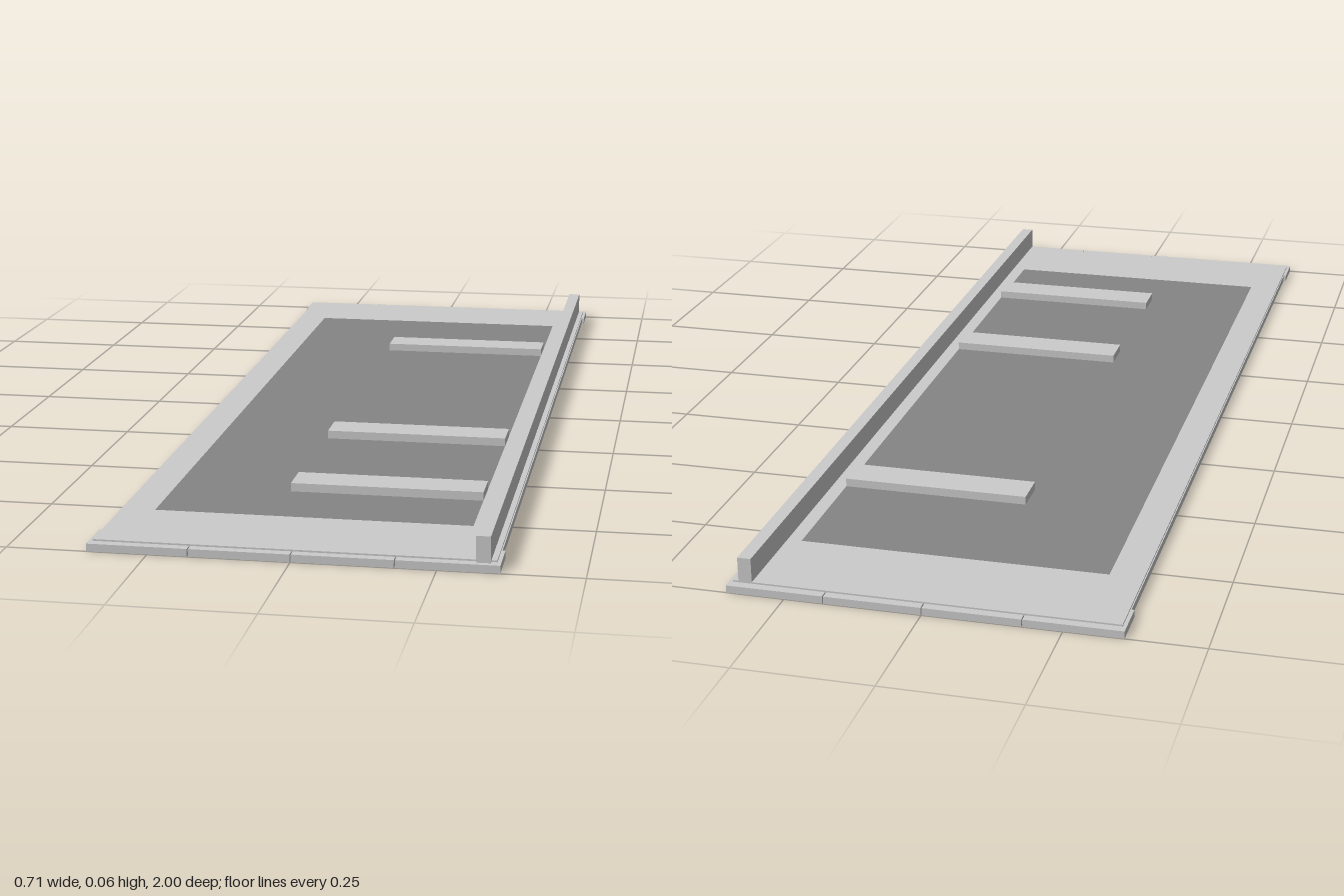
import * as THREE from 'three';

const grey = new THREE.MeshStandardMaterial({ color: 0xcccccc, flatShading: true });
const dark = new THREE.MeshStandardMaterial({ color: 0x858585, flatShading: true });

export function createModel() {
  const group = new THREE.Group();

  // Box given by its min and max on each axis
  function box(name, [x0, x1], [y0, y1], [z0, z1], material = grey) {
    const mesh = new THREE.Mesh(new THREE.BoxGeometry(x1 - x0, y1 - y0, z1 - z0), material);
    mesh.position.set((x0 + x1) / 2, (y0 + y1) / 2, (z0 + z1) / 2);
    mesh.name = name;
    group.add(mesh);
  }

  // Thin deck with a rectangular opening
  const rect = (Type, x, z) => new Type([
    new THREE.Vector2(-x, -z), new THREE.Vector2(x, -z),
    new THREE.Vector2(x, z), new THREE.Vector2(-x, z),
  ]);
  const deckShape = rect(THREE.Shape, 0.35, 0.983);
  deckShape.holes.push(rect(THREE.Path, 0.288, 0.805));
  const deckGeometry = new THREE.ExtrudeGeometry(deckShape, { depth: 0.004, bevelEnabled: false });
  deckGeometry.rotateX(-Math.PI / 2);
  const deck = new THREE.Mesh(deckGeometry, grey);
  deck.position.y = 0.013;
  deck.name = 'deck';
  group.add(deck);

  // Dark panel flush with the deck
  box('panel', [-0.288, 0.288], [0.013, 0.017], [-0.805, 0.805], dark);

  // Cross slats passing through the panel
  for (const z of [-0.52, 0.255, 0.62]) {
    box('slat', [-0.07, 0.288], [0.006, 0.033], [z - 0.036, z + 0.036]);
  }

  // Upright rail along the left edge
  box('rail', [0.315, 0.34], [0.015, 0.062], [-0.983, 0.993]);

  // Base frame: four blocks across each end, one strip down each side
  for (const side of [-1, 1]) {
    for (let i = 0; i < 4; i++) {
      const x = -0.357 + i * 0.1785;
      box('endBlock', [x + (i ? 0.001 : 0), x + 0.1785 - (i < 3 ? 0.001 : 0)],
        [0, 0.014], side > 0 ? [0.92, 1] : [-1, -0.92]);
    }
    box('sideStrip', side > 0 ? [0.342, 0.352] : [-0.352, -0.342], [0, 0.014], [-0.92, 0.92]);
  }
  return group;
}
